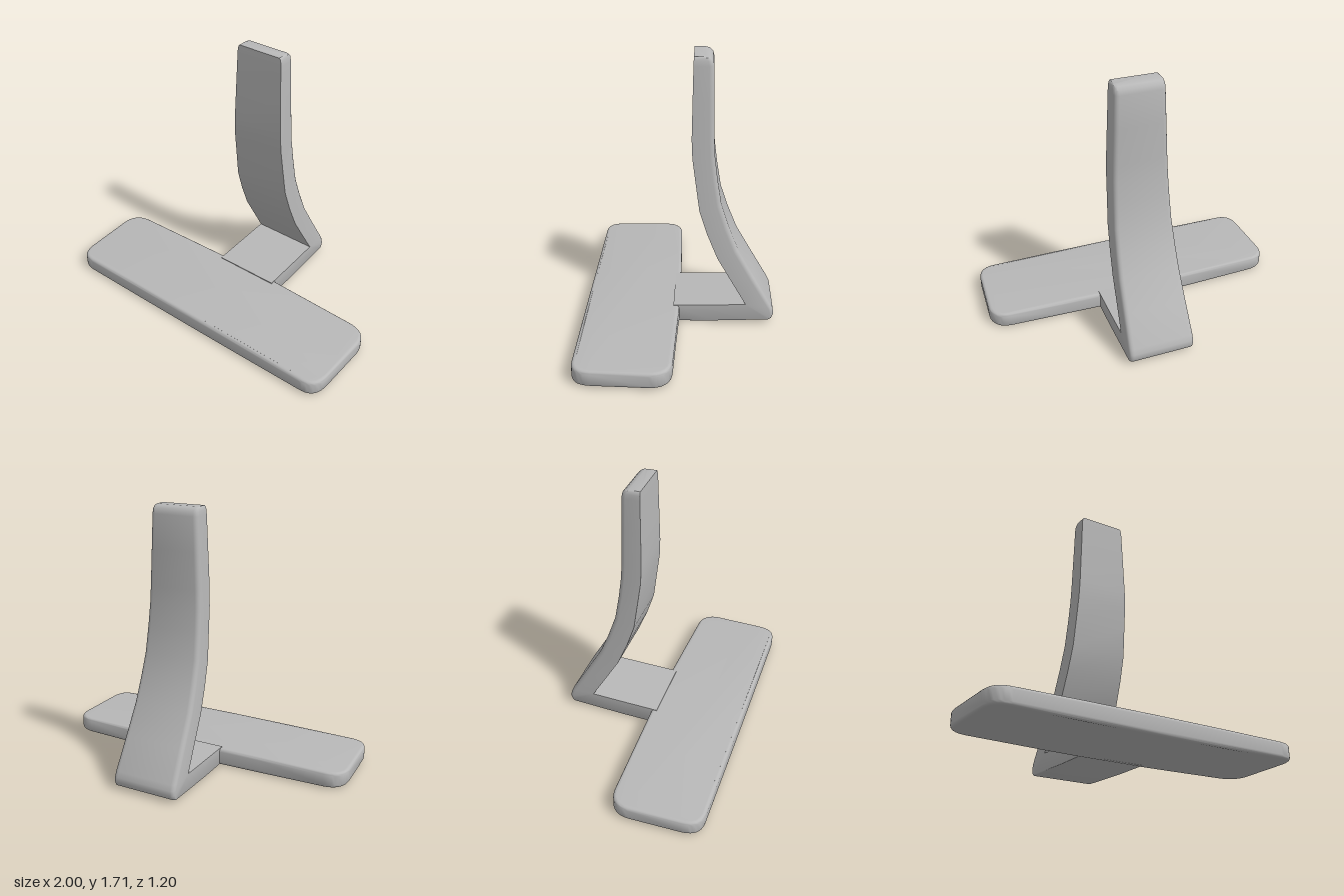
import * as THREE from 'three';
import { toCreasedNormals } from 'three/addons/utils/BufferGeometryUtils.js';

const CENTRE_X = 0.05; // the post sits slightly to the left

// Wide rounded foot, softly crowned above and below
function footGeometry() {
  const b = 0.02;
  const s = new THREE.Shape();
  s.moveTo(-0.87, 0.02 + b);
  for (const [x, z] of [[-0.45, 0.01], [-0.16, 0.003], [0.27, 0.003], [0.5, 0.01], [0.87, 0.02]]) s.lineTo(x, z + b);
  s.bezierCurveTo(0.93, 0.022 + b, 1 - b, 0.07, 1 - b, 0.15);
  s.lineTo(0.99 - b, 0.48);
  s.bezierCurveTo(0.985 - b, 0.55, 0.94, 0.6 - b, 0.87, 0.6 - b);
  for (const x of [0.45, 0, -0.45, -0.87]) s.lineTo(x, 0.6 - b);
  s.bezierCurveTo(-0.94, 0.6 - b, -0.985 + b, 0.55, -0.99 + b, 0.48);
  s.lineTo(-1 + b, 0.15);
  s.bezierCurveTo(-1 + b, 0.07, -0.93, 0.022 + b, -0.87, 0.02 + b);
  const g = new THREE.ExtrudeGeometry(s, {
    depth: 0.06, bevelEnabled: true, bevelSize: b, bevelThickness: b, bevelSegments: 4, curveSegments: 10,
  });
  g.rotateX(Math.PI / 2).translate(0, 0.09, 0);
  const p = g.attributes.position;
  for (let i = 0; i < p.count; i++) {
    const x = p.getX(i), y = p.getY(i);
    p.setY(i, y + (y - 0.06) / 0.05 * 0.008 * (1 - x * x));
  }
  return toCreasedNormals(g, 0.6);
}

// Arm and post: cross-sections [innerZ, innerY, outerZ, outerY, corner radius, half width]
function postGeometry() {
  const sections = [
    [0.04, 0.12, 0.04, 0.005, 0.004, 0.216],
    [-0.2, 0.125, -0.2, 0.008, 0.004, 0.216],
    [-0.42, 0.13, -0.57, 0.02, 0.012, 0.215],
    [-0.42, 0.13, -0.588, 0.028, 0.02, 0.215],
    [-0.42, 0.13, -0.6, 0.055, 0.025, 0.215],
    [-0.42, 0.13, -0.597, 0.085, 0.028, 0.215],
    [-0.42, 0.13, -0.582, 0.12, 0.03, 0.215],
    [-0.33, 0.285, -0.47, 0.315, 0.03, 0.208],
    [-0.235, 0.45, -0.365, 0.5, 0.03, 0.202],
    [-0.17, 0.61, -0.305, 0.65, 0.03, 0.196],
    [-0.12, 0.765, -0.255, 0.8, 0.03, 0.19],
    [-0.095, 0.95, -0.228, 0.97, 0.03, 0.183],
    [-0.075, 1.1, -0.211, 1.11, 0.03, 0.178],
    [-0.07, 1.22, -0.206, 1.22, 0.03, 0.174],
    [-0.074, 1.45, -0.203, 1.45, 0.03, 0.165],
    [-0.078, 1.66, -0.2, 1.66, 0.03, 0.157],
    [-0.079, 1.69, -0.193, 1.69, 0.028, 0.155],
    [-0.08, 1.708, -0.175, 1.708, 0.022, 0.15],
    [-0.08, 1.714, -0.15, 1.714, 0.015, 0.143],
  ];
  const STEPS = 4;
  const rings = sections.map(([iz, iy, oz, oy, r, w]) => {
    const len = Math.hypot(oz - iz, oy - iy);
    const at = (x, d) => [CENTRE_X + x, iy + (oy - iy) * d / len, iz + (oz - iz) * d / len];
    const ring = [at(-w, 0), at(w, 0)];
    for (const side of [1, -1]) {
      for (let k = 0; k <= STEPS; k++) {
        const a = (side > 0 ? k : STEPS - k) / STEPS * Math.PI / 2;
        ring.push(at(side * (w - r + r * Math.cos(a)), len - r + r * Math.sin(a)));
      }
    }
    return ring;
  });
  const pos = [];
  const tri = (...pts) => pts.forEach((q) => pos.push(...q));
  const n = rings[0].length;
  for (let i = 0; i < rings.length - 1; i++) {
    for (let j = 0; j < n; j++) {
      const k = (j + 1) % n;
      tri(rings[i][j], rings[i][k], rings[i + 1][k]);
      tri(rings[i][j], rings[i + 1][k], rings[i + 1][j]);
    }
  }
  // End caps
  const first = rings[0], last = rings[rings.length - 1];
  for (let j = 1; j < n - 1; j++) {
    tri(first[0], first[j + 1], first[j]);
    tri(last[0], last[j], last[j + 1]);
  }
  const g = new THREE.BufferGeometry();
  g.setAttribute('position', new THREE.Float32BufferAttribute(pos, 3));
  return toCreasedNormals(g, 0.65);
}

export function createModel() {
  const grey = new THREE.MeshStandardMaterial({ color: 0xb8b8b8 });
  grey.name = 'grey';
  const model = new THREE.Group();
  model.name = 'stand';
  const parts = { foot: footGeometry(), curvedPost: postGeometry() };
  for (const [name, geometry] of Object.entries(parts)) {
    const mesh = new THREE.Mesh(geometry, grey);
    mesh.name = name;
    model.add(mesh);
  }
  return model;
}
